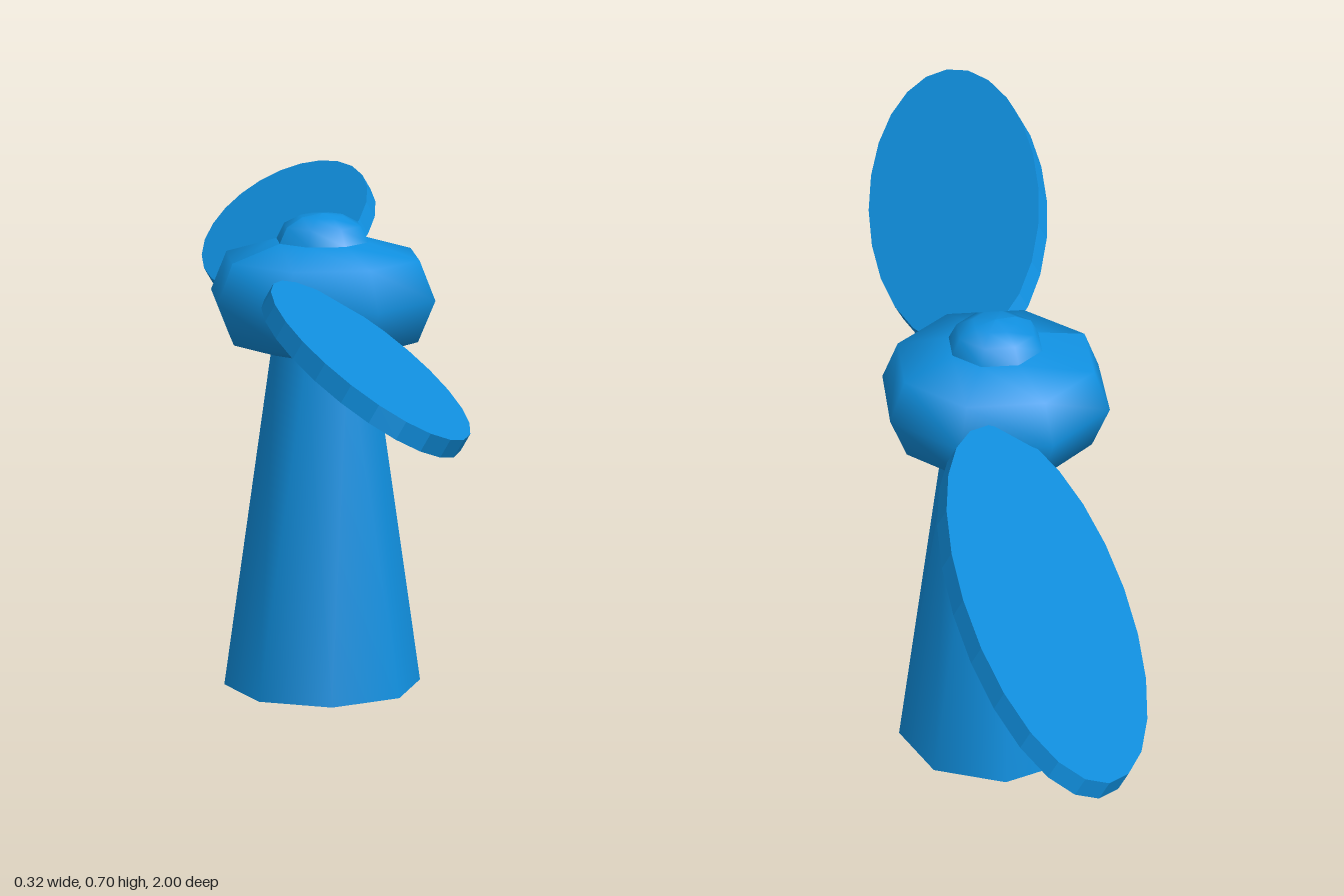
import * as THREE from 'three';

const SIDES = 8;
const HALF = Math.PI / SIDES;

// Lofts eight-sided rings [radius, y, start angle] from bottom to top, with one seam.
function loft(rings) {
  const pos = [], index = [];
  const row = SIDES + 1;
  rings.forEach(([r, y, start]) => {
    for (let i = 0; i <= SIDES; i++) {
      const a = start + i * 2 * HALF;
      pos.push(r * Math.cos(a), y, r * Math.sin(a));
    }
  });
  for (let k = 0; k < rings.length - 1; k++) {
    for (let i = 0; i < SIDES; i++) {
      const a = k * row + i, b = a + 1, c = a + row, d = c + 1;
      index.push(a, d, b);
      if (rings[k + 1][0] > 0) index.push(a, c, d);
    }
  }
  const geo = new THREE.BufferGeometry();
  geo.setAttribute('position', new THREE.Float32BufferAttribute(pos, 3));
  geo.setIndex(index);
  geo.computeVertexNormals();
  return geo;
}

// Flat oval plate reaching out along +z, pitched about its length.
function bladeGeometry() {
  const thick = 0.026, n = 24, pts = [];
  for (let i = 0; i < n; i++) {
    const a = (i / n) * Math.PI * 2;
    pts.push(new THREE.Vector2(0.145 * Math.sin(a), 0.568 + 0.432 * Math.cos(a)));
  }
  const geo = new THREE.ExtrudeGeometry(new THREE.Shape(pts), { depth: thick, bevelEnabled: false });
  geo.translate(0, 0, -thick / 2);
  geo.rotateX(Math.PI / 2);
  geo.rotateZ(-Math.PI / 6);
  return geo;
}

export function createModel() {
  const model = new THREE.Group();
  model.name = 'propeller';
  const blue = new THREE.MeshStandardMaterial({ color: 0x1090e0, side: THREE.DoubleSide });
  blue.name = 'blue';

  const add = (name, geo) => {
    const mesh = new THREE.Mesh(geo, blue);
    mesh.name = name;
    model.add(mesh);
    return mesh;
  };

  // Open tapered shaft, its top ring turned half a side
  add('shaft', loft([[0.146, 0, 0], [0.078, 0.5, -HALF]]));

  // Rounded hub with flat sides facing front and side
  const s = Math.PI - HALF;
  add('hub', loft([
    [0.078, 0.5, s], [0.145, 0.521, s], [0.171, 0.583, s], [0.147, 0.641, s], [0.07, 0.664, s],
  ]));

  // Small domed cap
  add('cap', loft([
    [0.07, 0.664, s], [0.058, 0.687, s], [0.033, 0.7, s], [0, 0.704, s],
  ]));

  // Two opposite blades
  const blade = bladeGeometry();
  ['frontBlade', 'backBlade'].forEach((name, i) => {
    const mesh = add(name, blade);
    mesh.position.y = 0.589;
    mesh.rotation.y = i * Math.PI;
  });

  return model;
}
